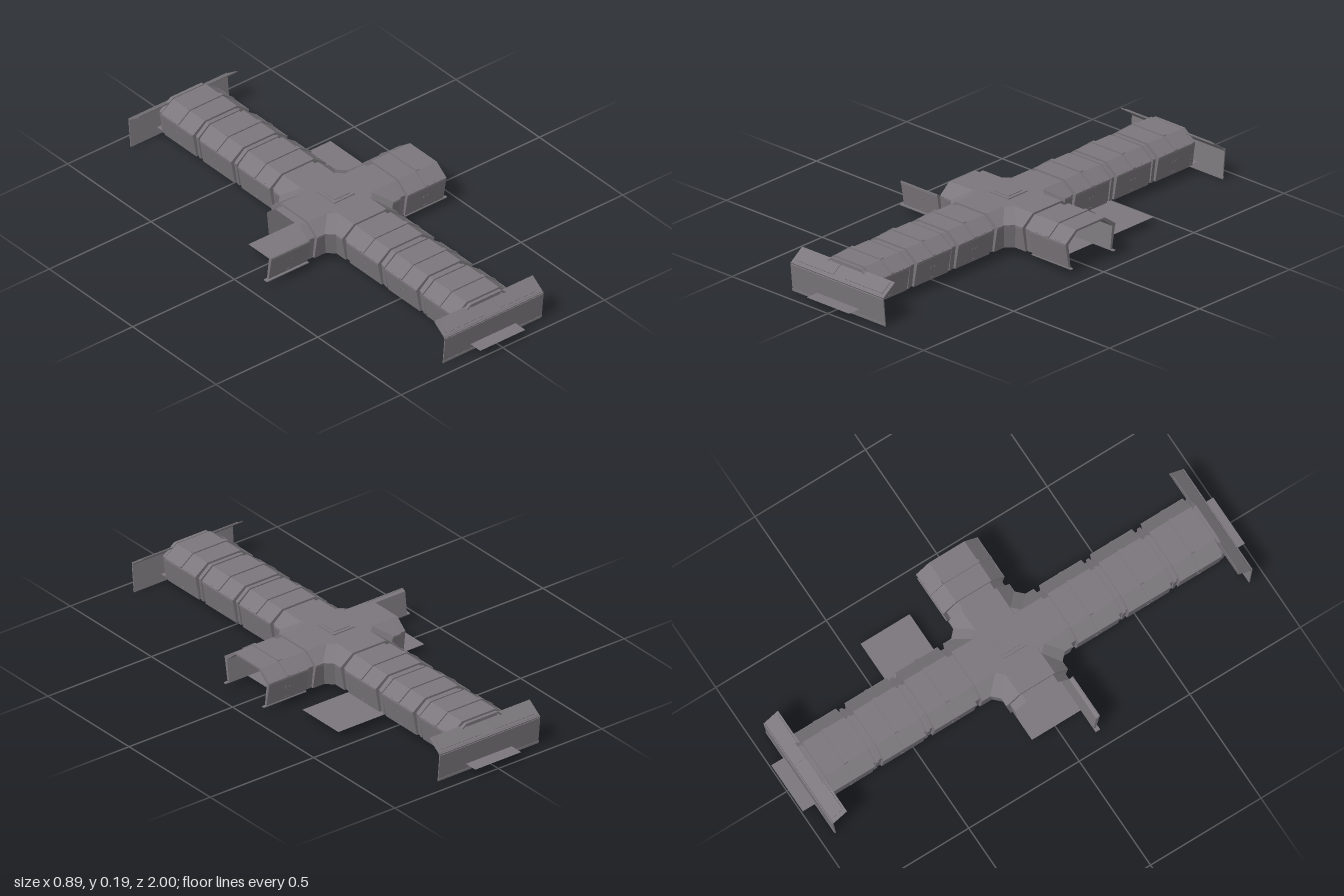
import * as THREE from 'three';
import { ConvexGeometry } from 'three/addons/geometries/ConvexGeometry.js';

const hull = new THREE.MeshStandardMaterial({ color: 0x7b777c, side: THREE.DoubleSide, flatShading: true });
hull.name = 'hull grey';

// half cross-sections [x, y], from floor to roof
const INNER = [[0.11, 0.033], [0.122, 0.13], [0.072, 0.172]];
const OUTER = [[0.12, 0.033], [0.137, 0.13], [0.137, 0.138], [0.08, 0.18]];
const RING = [[0.116, 0.033], [0.13, 0.13], [0.13, 0.135], [0.076, 0.177]];
const TILT = Math.atan2(0.017, 0.097), SLOPE = Math.atan2(0.042, 0.057);
const wallX = (y) => 0.12 + 0.017 * (y - 0.033) / 0.097;
const full = (half) => [...half, ...half.map(([x, y]) => [-x, y]).reverse()];

function add(parent, name, geo) {
  const m = new THREE.Mesh(geo, hull);
  m.name = name;
  parent.add(m);
  return m;
}

function box(parent, name, size, pos, rotX = 0, rotZ = 0) {
  const m = add(parent, name, new THREE.BoxGeometry(...size));
  m.position.set(...pos);
  m.rotation.set(rotX, 0, rotZ);
  return m;
}

// closed outline extruded along z
function prism(parent, name, points, z0, length) {
  const shape = new THREE.Shape(points.map((p) => new THREE.Vector2(...p)));
  const m = add(parent, name, new THREE.ExtrudeGeometry(shape, { depth: length, bevelEnabled: false }));
  m.position.z = z0;
  return m;
}

const arch = (parent, name, half, z0, length) =>
  prism(parent, name, [...full(half), ...full(INNER).reverse()], z0, length);

// thin tunnel skin, mitred at the crossing where z = |x|
function tunnel(parent, name, half, end) {
  const pos = [], idx = [], pts = full(half);
  pts.forEach(([x, y]) => pos.push(x, y, Math.abs(x), x, y, end));
  for (let i = 0; i < pts.length - 1; i++) {
    const a = i * 2;
    idx.push(a, a + 1, a + 2, a + 1, a + 3, a + 2);
  }
  const g = new THREE.BufferGeometry();
  g.setAttribute('position', new THREE.Float32BufferAttribute(pos, 3));
  g.setIndex(idx);
  g.computeVertexNormals();
  add(parent, name, g);
}

// wall fittings on one side of a module
function wallDetails(parent, s, z) {
  for (const dz of [-0.01, 0.01])
    box(parent, 'wallPort', [0.003, 0.006, 0.006], [s * wallX(0.09), 0.09, z + dz], 0, -s * TILT);
  box(parent, 'wallSlit', [0.003, 0.003, 0.016], [s * wallX(0.045), 0.045, z], 0, -s * TILT);
  box(parent, 'wallRail', [0.005, 0.008, 0.19], [s * 0.1365, 0.134, z]);
}

// corridor module: armour arch with ports, slots and a raised roof strap
function module(parent, z0) {
  const g = new THREE.Group(), zc = z0 + 0.095;
  g.name = 'corridorModule';
  arch(g, 'moduleShell', OUTER, z0, 0.19);
  for (const s of [-1, 1]) {
    wallDetails(g, s, zc);
    box(g, 'slopeStrap', [0.07, 0.01, 0.016], [s * 0.1085, 0.159, zc], 0, -s * SLOPE);
    for (const dz of [-0.05, 0.05])
      box(g, 'roofSlot', [0.003, 0.002, 0.026], [s * 0.1335, 0.1408, zc + dz], 0, -s * SLOPE);
  }
  box(g, 'roofStrap', [0.162, 0.008, 0.016], [0, 0.181, zc]);
  parent.add(g);
}

// crossing section shared by all four arms
function armRoot(parent) {
  tunnel(parent, 'crossingSkin', OUTER, 0.205);
  arch(parent, 'crossingRim', OUTER, 0.197, 0.008);
  for (const s of [-1, 1]) box(parent, 'crossingRail', [0.004, 0.008, 0.06], [s * 0.1365, 0.134, 0.175]);
}

// long arm: lining, three modules, joint rings and the sloped end shield
function longArm() {
  const g = new THREE.Group();
  g.name = 'longArm';
  armRoot(g);
  tunnel(g, 'tunnelLining', INNER, 0.9);
  for (const z of [0.23, 0.46, 0.69]) module(g, z);
  for (const z of [0.437, 0.667, 0.887]) arch(g, 'jointRing', RING, z, 0.013);
  box(g, 'endLintel', [0.146, 0.011, 0.006], [0, 0.1675, 0.895]);

  const shield = new THREE.Group();
  shield.name = 'endShield';
  const plate = prism(shield, 'shieldPlate', [
    [-0.885, 0.167], [-0.943, 0.126], [-0.95, 0.115], [-0.938, 0],
    [-0.934, 0], [-0.945, 0.115], [-0.939, 0.123], [-0.885, 0.161],
  ], 0, 0.484);
  plate.rotation.y = Math.PI / 2;
  plate.position.set(-0.242, 0, 0);
  for (const s of [-1, 1])
    box(shield, 'shieldPanel', [0.194, 0.005, 0.054], [s * 0.128, 0.1465, 0.914], Math.atan2(0.041, 0.058));
  box(shield, 'shieldRidge', [0.484, 0.008, 0.004], [0, 0.12, 0.9475], 0.5);
  box(shield, 'shieldFoot', [0.484, 0.005, 0.004], [0, 0.009, 0.939]);
  g.add(shield);
  return g;
}

// short side arm ending in a narrower door collar
function shortArm() {
  const g = new THREE.Group();
  g.name = 'shortArm';
  armRoot(g);
  tunnel(g, 'doorCollar', INNER, 0.24);
  return g;
}

export function createModel() {
  const root = new THREE.Group();
  root.name = 'corridorStation';

  // paper-thin floor plates
  const floor = (w, d, x, z) => {
    const m = add(root, 'floor', new THREE.PlaneGeometry(w, d));
    m.rotation.x = -Math.PI / 2;
    m.position.set(x, 0.033, z);
  };
  floor(0.222, 2, 0, 0);
  for (const s of [-1, 1]) floor(0.229, 0.222, s * 0.2255, 0);
  floor(0.229, 0.222, 0.2255, -0.337);

  // long arms front and back
  for (const turn of [0, Math.PI]) {
    const arm = longArm();
    arm.rotation.y = turn;
    root.add(arm);
  }

  // left arm with a complete module
  const left = shortArm();
  module(left, 0.24);
  for (const s of [-1, 1]) box(left, 'baseStrip', [0.012, 0.004, 0.205], [s * 0.118, 0.033, 0.3425]);
  left.rotation.y = Math.PI / 2;
  root.add(left);

  // right arm with one free-standing wall
  const right = shortArm();
  prism(right, 'looseWall', [...OUTER.slice(0, 3), INNER[1], INNER[0]], 0.24, 0.19);
  wallDetails(right, 1, 0.335);
  box(right, 'baseStrip', [0.02, 0.004, 0.205], [0.12, 0.033, 0.3425]);
  right.rotation.y = -Math.PI / 2;
  root.add(right);

  // crossing roof and hatch
  box(root, 'crossingRoof', [0.16, 0.008, 0.16], [0, 0.176, 0]);
  box(root, 'hatchFrame', [0.104, 0.006, 0.104], [0, 0.181, 0]);
  box(root, 'hatchLid', [0.076, 0.005, 0.076], [0, 0.184, 0]);

  // small chamfered corners between the arms
  const corner = new ConvexGeometry([
    [0.12, 0.033, 0.12], [0.12, 0.033, 0.15], [0.15, 0.033, 0.12],
    [0.137, 0.138, 0.137], [0.137, 0.138, 0.17], [0.17, 0.138, 0.137],
    [0.082, 0.179, 0.11], [0.11, 0.179, 0.082], [0.08, 0.179, 0.08],
  ].map((p) => new THREE.Vector3(...p)));
  for (let i = 0; i < 4; i++) add(root, 'cornerPanel', corner).rotation.y = i * Math.PI / 2;

  return root;
}
